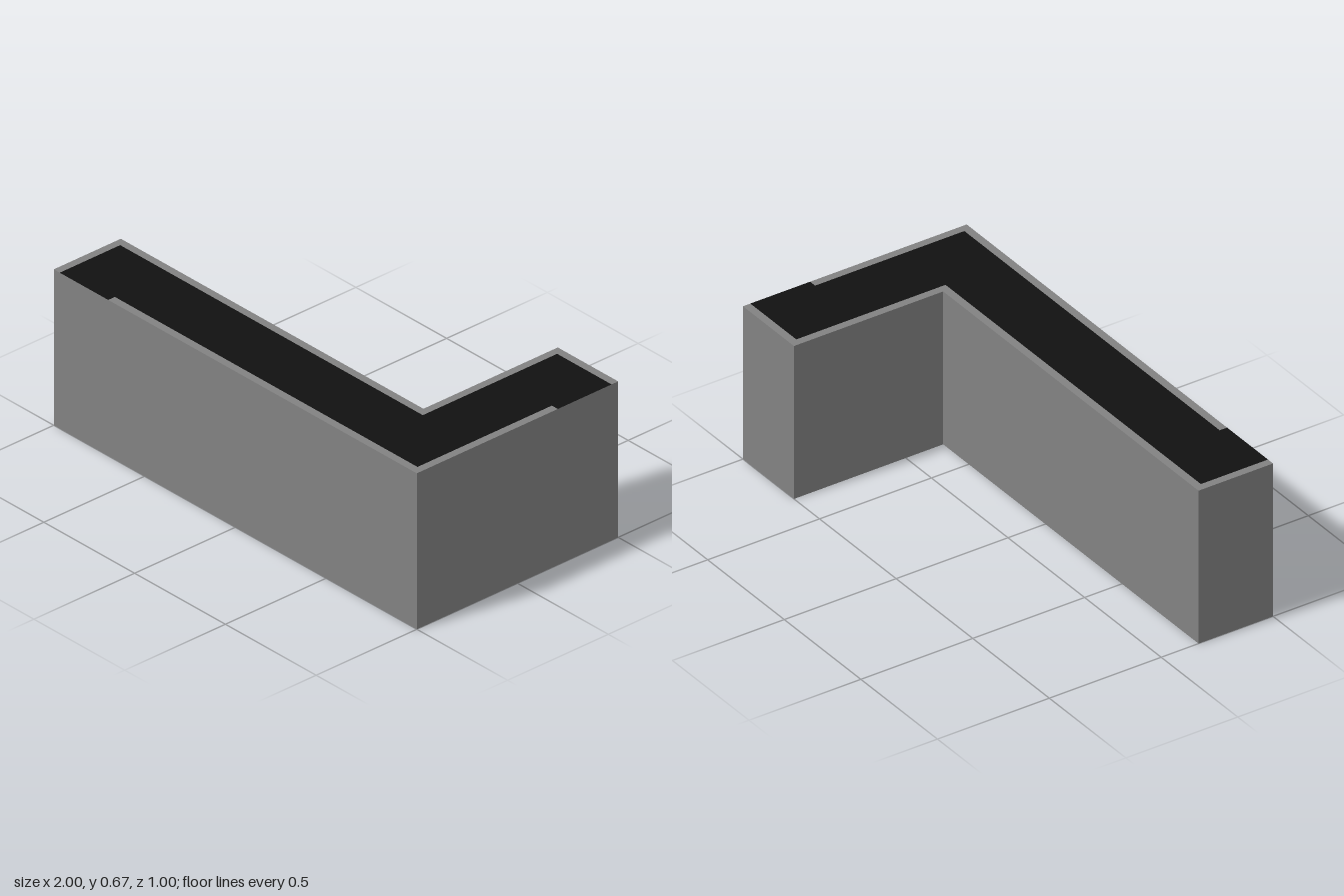
import * as THREE from 'three';

const HEIGHT = 0.667;

// L-shaped footprint as [x, z] corners, starting along the front
const FOOTPRINT = [[-1, 0.5], [1, 0.5], [1, -0.5], [0.667, -0.5], [0.667, 0.167], [-1, 0.167]];

// Pale edge strips, leaving a gap at each outer end of the L
const OUTER_RIM = [[-0.7, 0.5], [1, 0.5], [1, -0.2], [0.967, -0.2], [0.967, 0.467], [-0.7, 0.467]];
const INNER_RIM = [[-1, 0.5], [-0.967, 0.5], [-0.967, 0.2], [0.7, 0.2], [0.7, -0.467], [1, -0.467],
  [1, -0.5], [0.667, -0.5], [0.667, 0.167], [-1, 0.167]];

// Dark panel filling the space between the strips
const PANEL = [[-0.967, 0.5], [-0.7, 0.5], [-0.7, 0.467], [0.967, 0.467], [0.967, -0.2], [1, -0.2],
  [1, -0.467], [0.7, -0.467], [0.7, 0.2], [-0.967, 0.2]];

// Flat piece of the top, from [x, z] corners
function topPiece(name, points, material) {
  const shape = new THREE.Shape(points.map(([x, z]) => new THREE.Vector2(x, -z)));
  const mesh = new THREE.Mesh(new THREE.ShapeGeometry(shape).rotateX(-Math.PI / 2), material);
  mesh.name = name;
  mesh.position.y = HEIGHT;
  return mesh;
}

export function createModel() {
  const model = new THREE.Group();
  const grey = new THREE.MeshStandardMaterial({ color: 0x828282, side: THREE.DoubleSide });
  const black = new THREE.MeshStandardMaterial({ color: 0x111111, side: THREE.DoubleSide });

  // Thin walls around the footprint, open underneath
  const walls = new THREE.Group();
  walls.name = 'walls';
  FOOTPRINT.forEach(([x0, z0], i) => {
    const [x1, z1] = FOOTPRINT[(i + 1) % FOOTPRINT.length];
    const length = Math.hypot(x1 - x0, z1 - z0);
    const wall = new THREE.Mesh(new THREE.PlaneGeometry(length, HEIGHT), grey);
    wall.name = 'wall';
    wall.position.set((x0 + x1) / 2, HEIGHT / 2, (z0 + z1) / 2);
    wall.rotation.y = Math.atan2(z0 - z1, x1 - x0);
    walls.add(wall);
  });

  model.add(
    walls,
    topPiece('topPanel', PANEL, black),
    topPiece('outerRim', OUTER_RIM, grey),
    topPiece('innerRim', INNER_RIM, grey),
  );
  return model;
}
